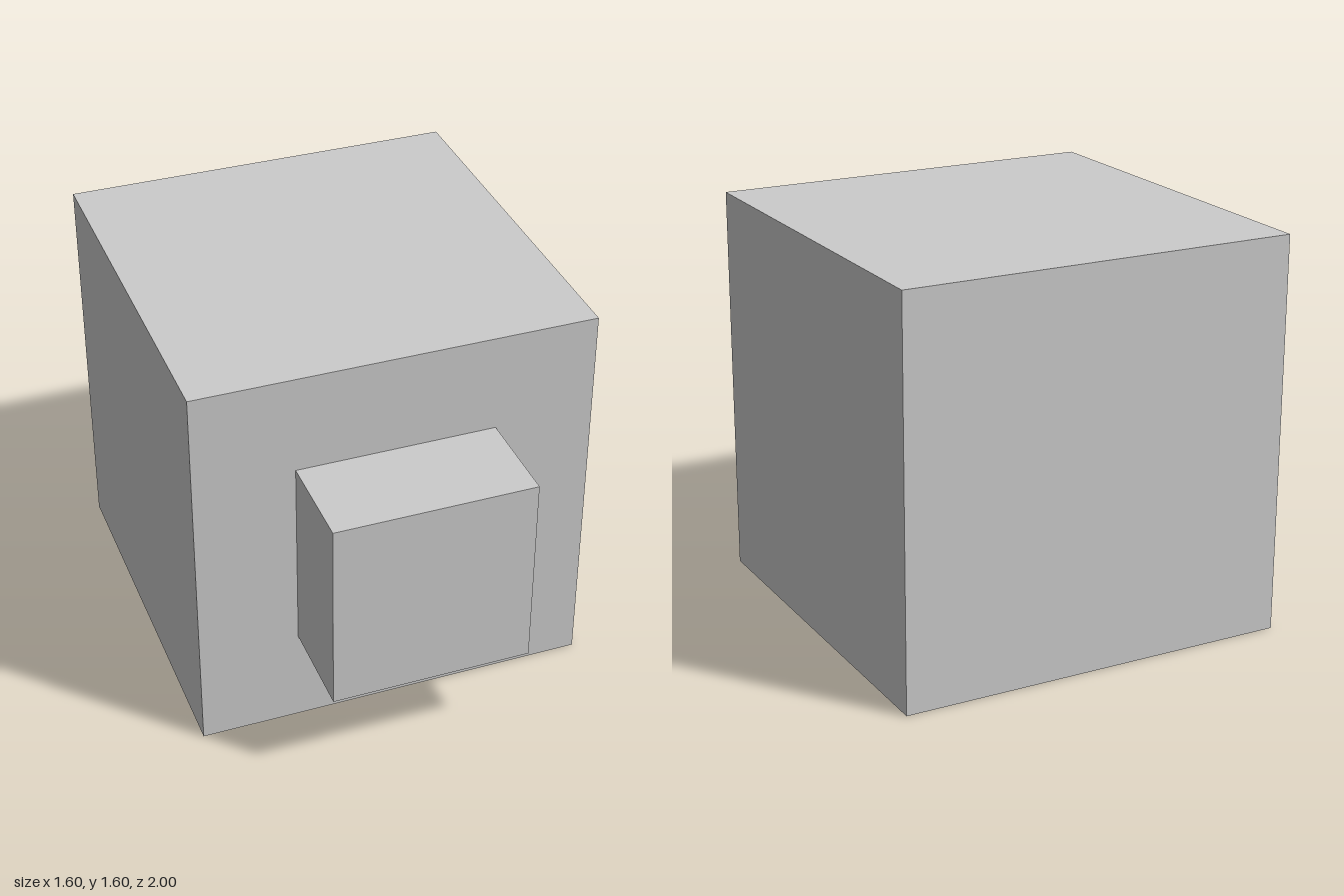
import * as THREE from 'three';

export function createModel() {
  const model = new THREE.Group();
  const material = new THREE.MeshStandardMaterial({ color: 0xcccccc, flatShading: true });

  function addBox(name, size, position) {
    const mesh = new THREE.Mesh(new THREE.BoxGeometry(...size), material);
    mesh.name = name;
    mesh.position.set(...position);
    model.add(mesh);
  }

  // Cubic body
  addBox('body', [1.6, 1.6, 1.6], [0, 0.8, -0.2]);
  // Square block standing out from the middle of the front face
  addBox('frontBlock', [0.8, 0.8, 0.4], [0, 0.8, 0.8]);

  return model;
}
